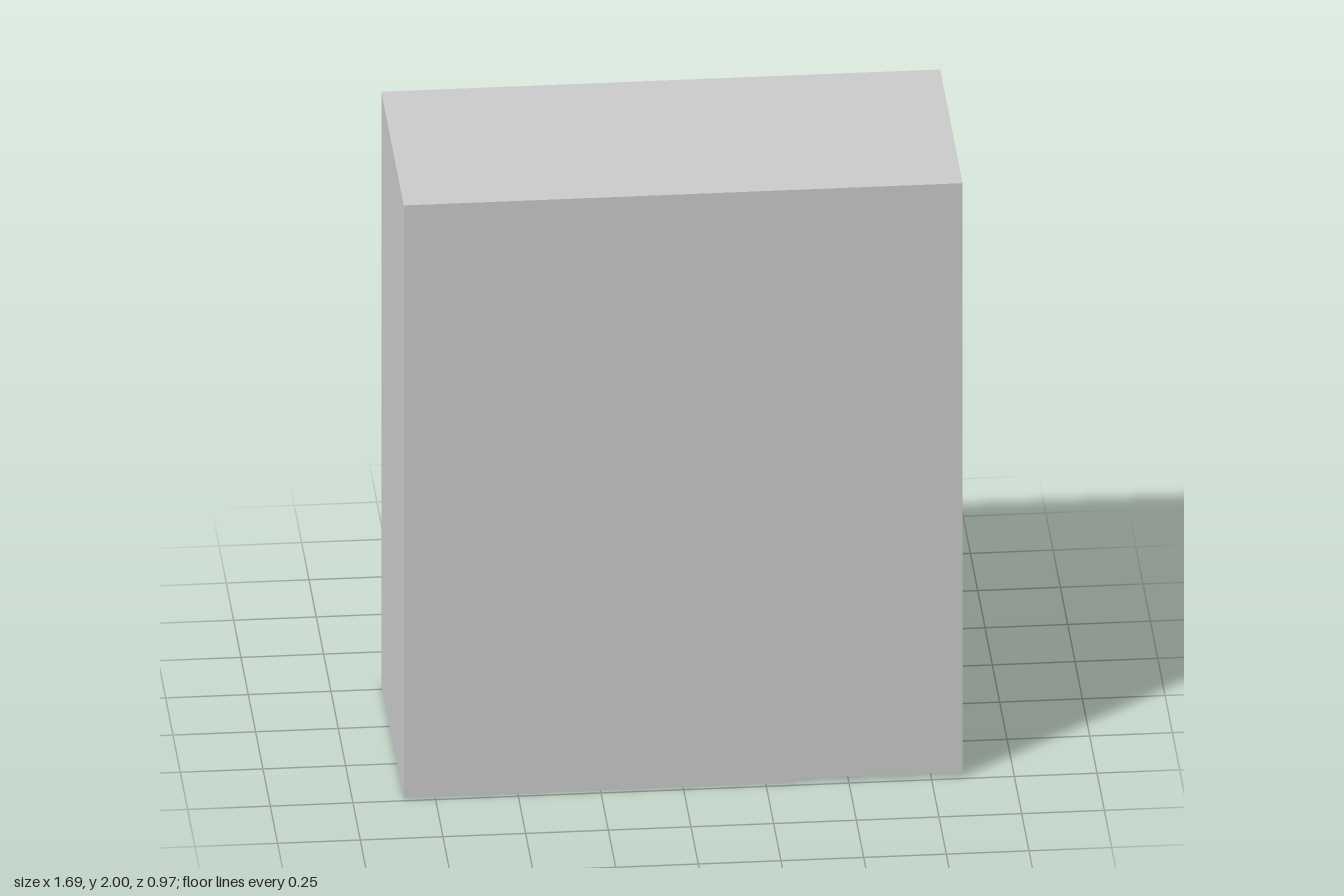
import * as THREE from 'three';

const BACK = -0.28;   // plane of the panel that carries the door and controls
const REAR = 0.485;   // opposite, plain side
const SLOT_DEPTH = 0.045;

const grey = new THREE.MeshStandardMaterial({ color: 0xcccccc });
const darkGlass = new THREE.MeshStandardMaterial({ color: 0x333333 });
const black = new THREE.MeshStandardMaterial({ color: 0x1a1a1a });

function add(parent, name, geometry, material) {
  const mesh = new THREE.Mesh(geometry, material);
  mesh.name = name;
  parent.add(mesh);
  return mesh;
}

// Box given by its limits along each axis
function boxBetween(x0, x1, y0, y1, z0, z1) {
  return new THREE.BoxGeometry(x1 - x0, y1 - y0, z1 - z0)
    .translate((x0 + x1) / 2, (y0 + y1) / 2, (z0 + z1) / 2);
}

// Cabinet outline with the small step in its underside
function cabinetOutline() {
  return new THREE.Shape([
    [-0.845, 0], [0.34, 0], [0.34, 0.015], [0.845, 0.015], [0.845, 2], [-0.845, 2],
  ].map(([x, y]) => new THREE.Vector2(x, y)));
}

function extrudeBetween(shape, z0, z1) {
  return new THREE.ExtrudeGeometry(shape, { depth: z1 - z0, bevelEnabled: false }).translate(0, 0, z0);
}

// Half ellipsoid bulging towards -z
function dome(radius, depth) {
  return new THREE.SphereGeometry(1, 64, 24, 0, Math.PI * 2, 0, Math.PI / 2)
    .rotateX(-Math.PI / 2)
    .scale(radius, radius, depth);
}

export function createModel() {
  const model = new THREE.Group();
  model.name = 'washingMachine';

  // Cabinet: solid body plus a panel pierced by the drawer slot
  const cabinet = new THREE.Group();
  cabinet.name = 'cabinet';
  model.add(cabinet);
  add(cabinet, 'cabinetBody', extrudeBetween(cabinetOutline(), BACK + SLOT_DEPTH, REAR), grey);
  const panel = cabinetOutline();
  panel.holes.push(new THREE.Path([
    [0.375, 1.76], [0.375, 1.805], [0.77, 1.805], [0.77, 1.76],
  ].map(([x, y]) => new THREE.Vector2(x, y))));
  add(cabinet, 'slottedPanel', extrudeBetween(panel, BACK, BACK + SLOT_DEPTH), grey);

  // Door plate with its domed window
  add(model, 'door', boxBetween(-0.61, 0.32, 0.285, 1.72, -0.313, BACK), grey);
  add(model, 'doorWindow', dome(0.368, 0.172), darkGlass).position.set(-0.15, 1.003, -0.313);

  // Controls
  add(model, 'display', boxBetween(-0.68, -0.34, 1.755, 1.96, -0.288, BACK), black);
  add(model, 'knob', dome(0.058, 0.058), darkGlass).position.set(-0.13, 1.873, BACK);

  return model;
}
